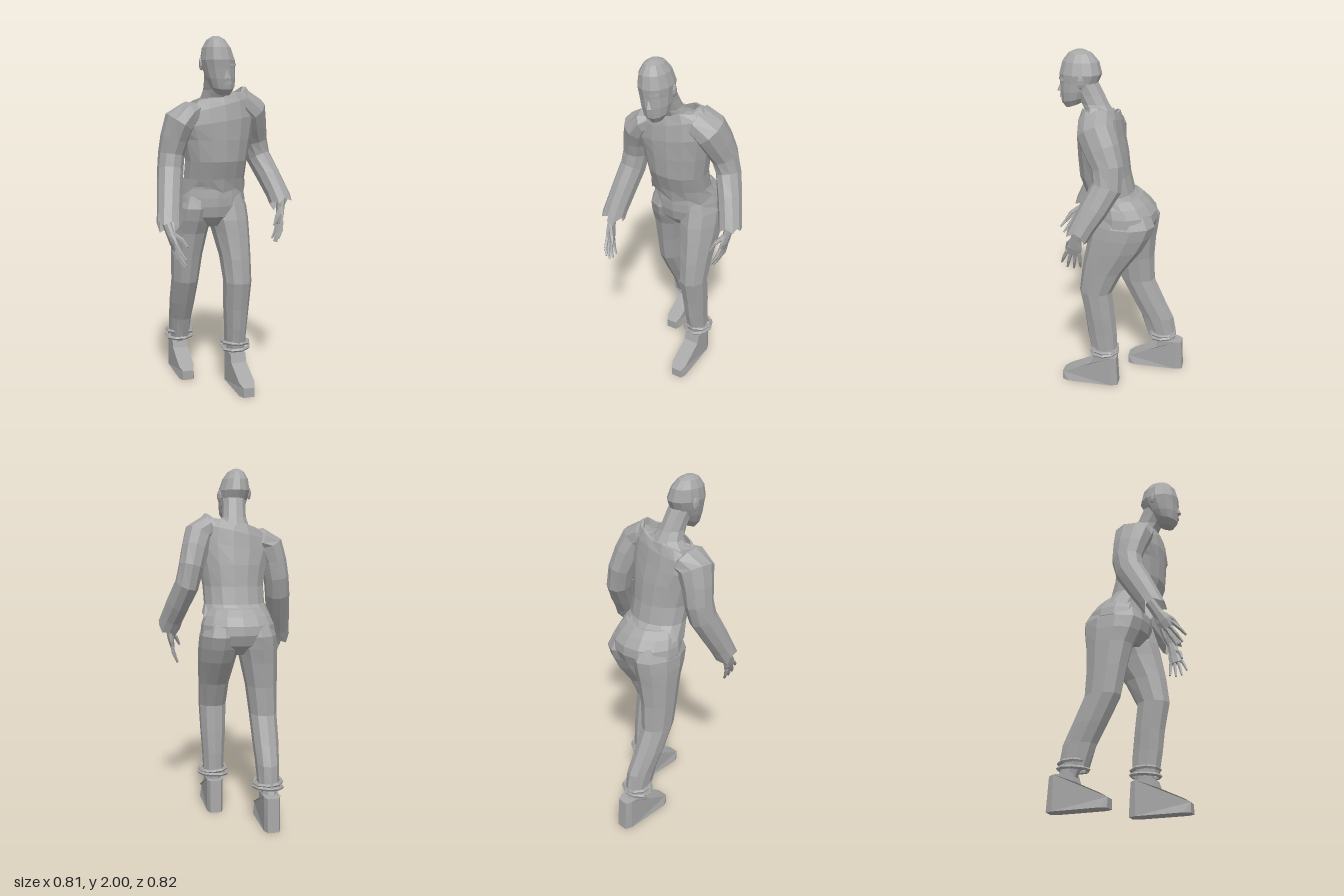
import * as THREE from 'three';

const grey = new THREE.MeshStandardMaterial({ color: 0xa6a6a6, side: THREE.DoubleSide });
grey.name = 'plain grey';

// Faceted mesh with a part name
function part(parent, name, geometry) {
  const g = geometry.index ? geometry.toNonIndexed() : geometry;
  g.computeVertexNormals();
  const mesh = new THREE.Mesh(g, grey);
  mesh.name = name;
  parent.add(mesh);
  return mesh;
}

// Skin over oval rings, listed top down: [x, y, z, radiusA, radiusB, slopeX, slopeZ, jag].
// follow: rings turn with the path, otherwise they stay level. jag: ragged edge depth.
function loft(rows, sides, { follow = false, capTop = true, capEnd = true } = {}) {
  const pos = [], index = [];
  const mid = rows.map(r => new THREE.Vector3(r[0], r[1], r[2]));
  rows.forEach(([, , , ra, rb, sx = 0, sz = 0, jag = 0], i) => {
    const t = new THREE.Vector3(0, -1, 0);
    if (follow) {
      t.subVectors(mid[Math.min(i + 1, rows.length - 1)], mid[Math.max(i - 1, 0)]).normalize();
    }
    const a = new THREE.Vector3(1, 0, 0).addScaledVector(t, -t.x).normalize();
    const b = new THREE.Vector3().crossVectors(t, a);
    for (let j = 0; j < sides; j++) {
      const ang = (j + 0.5) / sides * Math.PI * 2;
      const u = Math.cos(ang) * ra, v = Math.sin(ang) * rb;
      const p = mid[i].clone().addScaledVector(a, u).addScaledVector(b, v);
      p.y += u * sx + v * sz;
      p.addScaledVector(t, jag * [0, 1, 0.35, 0.8, 0.1][j % 5]);
      pos.push(p.x, p.y, p.z);
    }
  });
  for (let i = 0; i < rows.length - 1; i++) {
    for (let j = 0; j < sides; j++) {
      const k = (j + 1) % sides, p = i * sides, q = p + sides;
      index.push(p + j, p + k, q + j, p + k, q + k, q + j);
    }
  }
  const cap = (row, flip) => {
    const c = pos.length / 3;
    pos.push(mid[row].x, mid[row].y, mid[row].z);
    for (let j = 0; j < sides; j++) {
      const m = row * sides + j, n = row * sides + (j + 1) % sides;
      index.push(c, flip ? m : n, flip ? n : m);
    }
  };
  if (capTop) cap(0, false);
  if (capEnd) cap(rows.length - 1, true);
  const g = new THREE.BufferGeometry();
  g.setAttribute('position', new THREE.Float32BufferAttribute(pos, 3));
  g.setIndex(index);
  return g;
}

// Hand: palm, four two-jointed fingers and a thumb. side is +1 for left.
function hand(parent, name, wrist, dir, side) {
  const group = new THREE.Group();
  group.name = name;
  parent.add(group);
  const w = new THREE.Vector3(...wrist), d = new THREE.Vector3(...dir).normalize();
  const across = new THREE.Vector3(1, 0, 0).addScaledVector(d, -d.x).normalize();
  const fwd = new THREE.Vector3().crossVectors(d, across);
  const at = (along, f, inward) => w.clone().addScaledVector(d, along)
    .addScaledVector(fwd, f).addScaledVector(across, -side * inward).toArray();
  part(group, 'palm', loft([
    [...at(-0.06, 0, 0), 0.026, 0.03], [...at(0.02, 0, 0), 0.022, 0.032],
    [...at(0.07, 0, 0), 0.018, 0.045], [...at(0.115, 0, 0.004), 0.013, 0.042],
  ], 8, { follow: true }));
  for (let k = 0; k < 4; k++) {
    const s = k - 1.5, len = [0.085, 0.105, 0.11, 0.09][k];
    part(group, 'finger', loft([
      [...at(0.1, s * 0.022, 0), 0.011, 0.011],
      [...at(0.11 + len * 0.5, s * 0.031, 0.005), 0.01, 0.01],
      [...at(0.11 + len, s * 0.036, 0.02), 0.006, 0.006],
    ], 5, { follow: true }));
  }
  part(group, 'thumb', loft([
    [...at(0.03, 0.02, 0.005), 0.014, 0.014],
    [...at(0.08, 0.045, 0.035), 0.012, 0.012],
    [...at(0.13, 0.05, 0.05), 0.007, 0.007],
  ], 5, { follow: true }));
}

// Wedge boot, narrowed at heel and toe; heel placed at z
function foot(parent, name, x, z) {
  const profile = [[0, 0], [0.04, 0], [0.31, 0], [0.345, 0], [0.345, 0.055], [0.31, 0.075],
    [0.165, 0.145], [0.15, 0.195], [0.04, 0.195], [0.01, 0.19]];
  const shape = new THREE.Shape(profile.map(p => new THREE.Vector2(...p)));
  const g = new THREE.ExtrudeGeometry(shape, { depth: 0.092, bevelEnabled: false });
  g.translate(0, 0, -0.046).rotateY(-Math.PI / 2);
  const p = g.attributes.position;
  for (let i = 0; i < p.count; i++) {
    if (p.getZ(i) > 0.33 || p.getZ(i) < 0.02) p.setX(i, p.getX(i) * 0.68);
  }
  g.translate(x, 0, z);
  part(parent, name, g);
}

// Loose shackle of two thin bands
function shackle(parent, name, x, y, z) {
  const pair = new THREE.Group();
  pair.name = name;
  parent.add(pair);
  [[-0.012, 0.082, 0.06], [0.016, 0.079, -0.05]].forEach(([dy, r, tilt]) => {
    const ring = part(pair, 'shackleBand', new THREE.TorusGeometry(r, 0.011, 5, 9));
    ring.rotation.set(Math.PI / 2 + tilt, tilt, 0);
    ring.position.set(x, y + dy, z);
  });
}

export function createModel() {
  const model = new THREE.Group();
  model.name = 'figure';

  // Head, leaning forward
  const head = new THREE.Group();
  head.name = 'head';
  model.add(head);
  part(head, 'skull', loft([
    [-0.066, 2.0, 0.2, 0.018, 0.025], [-0.064, 1.982, 0.198, 0.048, 0.066],
    [-0.06, 1.94, 0.196, 0.075, 0.102], [-0.053, 1.875, 0.195, 0.091, 0.119],
    [-0.049, 1.83, 0.203, 0.085, 0.106], [-0.043, 1.785, 0.213, 0.079, 0.094, 0, -0.1],
    [-0.037, 1.74, 0.222, 0.066, 0.077, 0, -0.25], [-0.033, 1.705, 0.227, 0.04, 0.046, 0, -0.35],
  ], 13));
  const face = new THREE.Group();
  face.name = 'face';
  face.position.set(-0.034, 1.79, 0.3);
  face.rotation.z = 0.12;
  head.add(face);
  const nose = part(face, 'nose', new THREE.ConeGeometry(0.02, 0.055, 5));
  nose.position.set(0, 0.014, 0.002);
  nose.rotation.x = -0.1;
  part(face, 'mouth', new THREE.BoxGeometry(0.042, 0.018, 0.02)).position.set(0, -0.036, -0.008);
  for (const s of [-1, 1]) {
    const brow = part(face, 'brow', new THREE.BoxGeometry(0.05, 0.012, 0.02));
    brow.position.set(s * 0.033, 0.055, -0.01);
    brow.rotation.set(0, s * 0.45, -s * 0.1);
    const ear = part(head, 'ear', new THREE.SphereGeometry(1, 6, 5));
    ear.scale.set(0.012, 0.036, 0.022);
    ear.position.set(-0.05 + s * 0.088, 1.85 - s * 0.008, 0.175);
    ear.rotation.y = s * 0.3;
  }

  // Neck widening into the bare upper chest
  part(model, 'neck', loft([
    [-0.045, 1.83, 0.172, 0.07, 0.08], [-0.04, 1.77, 0.14, 0.068, 0.08],
    [-0.035, 1.72, 0.112, 0.07, 0.078],
    [-0.032, 1.68, 0.088, 0.085, 0.08, 0.1], [-0.03, 1.645, 0.075, 0.15, 0.088, 0.25],
    [-0.03, 1.57, 0.075, 0.19, 0.105, 0.2],
  ], 10));

  // Shirt with wide torn collar and ragged hem, longer at the back
  part(model, 'shirt', loft([
    [-0.03, 1.645, 0.075, 0.155, 0.088, 0.28], [-0.03, 1.695, 0.075, 0.16, 0.088, 0.28, 0, 0.025],
    [-0.03, 1.69, 0.075, 0.176, 0.1, 0.28, 0, 0.02], [-0.028, 1.635, 0.075, 0.215, 0.116, 0.24],
    [-0.025, 1.55, 0.074, 0.228, 0.13, 0.15], [-0.02, 1.45, 0.063, 0.2, 0.14],
    [-0.018, 1.33, 0.052, 0.178, 0.145], [-0.02, 1.23, 0.022, 0.177, 0.138],
    [-0.022, 1.175, -0.035, 0.2, 0.18, 0, 0.1, 0.05],
  ], 15, { capTop: false, capEnd: false }));

  // Trousers: seat flowing into two legs in mid stride
  part(model, 'trouserSeat', loft([
    [-0.02, 1.21, -0.025, 0.16, 0.14], [-0.02, 1.17, -0.05, 0.187, 0.158],
    [-0.021, 1.12, -0.067, 0.207, 0.18], [-0.022, 1.07, -0.07, 0.214, 0.183],
    [-0.022, 1.01, -0.065, 0.19, 0.165], [-0.025, 0.95, -0.05, 0.06, 0.1],
  ], 14));
  part(model, 'leftTrouserLeg', loft([
    [0.075, 1.13, -0.065, 0.09, 0.15], [0.081, 1.06, -0.073, 0.115, 0.178],
    [0.085, 0.99, -0.05, 0.115, 0.176], [0.093, 0.91, -0.02, 0.105, 0.162],
    [0.1, 0.77, 0.045, 0.088, 0.122], [0.102, 0.63, 0.087, 0.08, 0.096],
    [0.103, 0.47, 0.062, 0.073, 0.09], [0.104, 0.35, 0.049, 0.064, 0.088],
    [0.105, 0.25, 0.035, 0.06, 0.078, 0, 0, 0.045],
  ], 10, { capEnd: false }));
  part(model, 'rightTrouserLeg', loft([
    [-0.115, 1.13, -0.065, 0.09, 0.15], [-0.122, 1.06, -0.072, 0.115, 0.178],
    [-0.128, 0.99, -0.078, 0.115, 0.164], [-0.137, 0.91, -0.09, 0.106, 0.139],
    [-0.15, 0.77, -0.1, 0.09, 0.118], [-0.157, 0.61, -0.118, 0.078, 0.106],
    [-0.157, 0.46, -0.19, 0.073, 0.102], [-0.154, 0.35, -0.247, 0.065, 0.1],
    [-0.153, 0.25, -0.28, 0.06, 0.088, 0, 0, 0.045],
  ], 10, { capEnd: false }));

  // Ankles, shackles and boots
  [['left', 0.104, 0.028, -0.05], ['right', -0.153, -0.315, -0.415]].forEach(([side, x, z, heel]) => {
    const top = side === 'left' ? 0.035 : -0.265;
    part(model, side + 'Ankle', loft([
      [x, 0.3, top, 0.045, 0.055], [x, 0.17, z, 0.043, 0.055],
    ], 8));
    foot(model, side + 'Boot', x, heel);
    shackle(model, side + 'Shackle', x + 0.003, 0.236, side === 'left' ? 0.035 : -0.28);
  });

  // Sleeves: left arm bent back, right arm reaching forward
  part(model, 'leftSleeve', loft([
    [0.05, 1.65, 0.075, 0.04, 0.08], [0.12, 1.655, 0.075, 0.078, 0.1],
    [0.18, 1.61, 0.062, 0.09, 0.106],
    [0.208, 1.53, 0.022, 0.08, 0.1], [0.235, 1.44, -0.013, 0.072, 0.087],
    [0.26, 1.34, -0.014, 0.068, 0.082], [0.303, 1.23, 0.048, 0.066, 0.076],
    [0.335, 1.14, 0.1, 0.064, 0.066], [0.347, 1.1, 0.12, 0.066, 0.064, 0, 0, 0.04],
  ], 10, { follow: true, capEnd: false }));
  part(model, 'rightSleeve', loft([
    [-0.11, 1.6, 0.08, 0.04, 0.08], [-0.18, 1.588, 0.087, 0.075, 0.112],
    [-0.235, 1.545, 0.088, 0.088, 0.114],
    [-0.262, 1.46, 0.075, 0.078, 0.098], [-0.28, 1.37, 0.068, 0.072, 0.088],
    [-0.292, 1.28, 0.09, 0.072, 0.083], [-0.313, 1.16, 0.16, 0.07, 0.076],
    [-0.33, 1.06, 0.217, 0.068, 0.068], [-0.336, 1.02, 0.238, 0.07, 0.064, 0, 0, 0.045],
  ], 10, { follow: true, capEnd: false }));

  hand(model, 'leftHand', [0.345, 1.075, 0.135], [-0.03, -0.21, 0.05], 1);
  hand(model, 'rightHand', [-0.342, 0.98, 0.258], [0.045, -0.21, 0.124], -1);
  return model;
}
